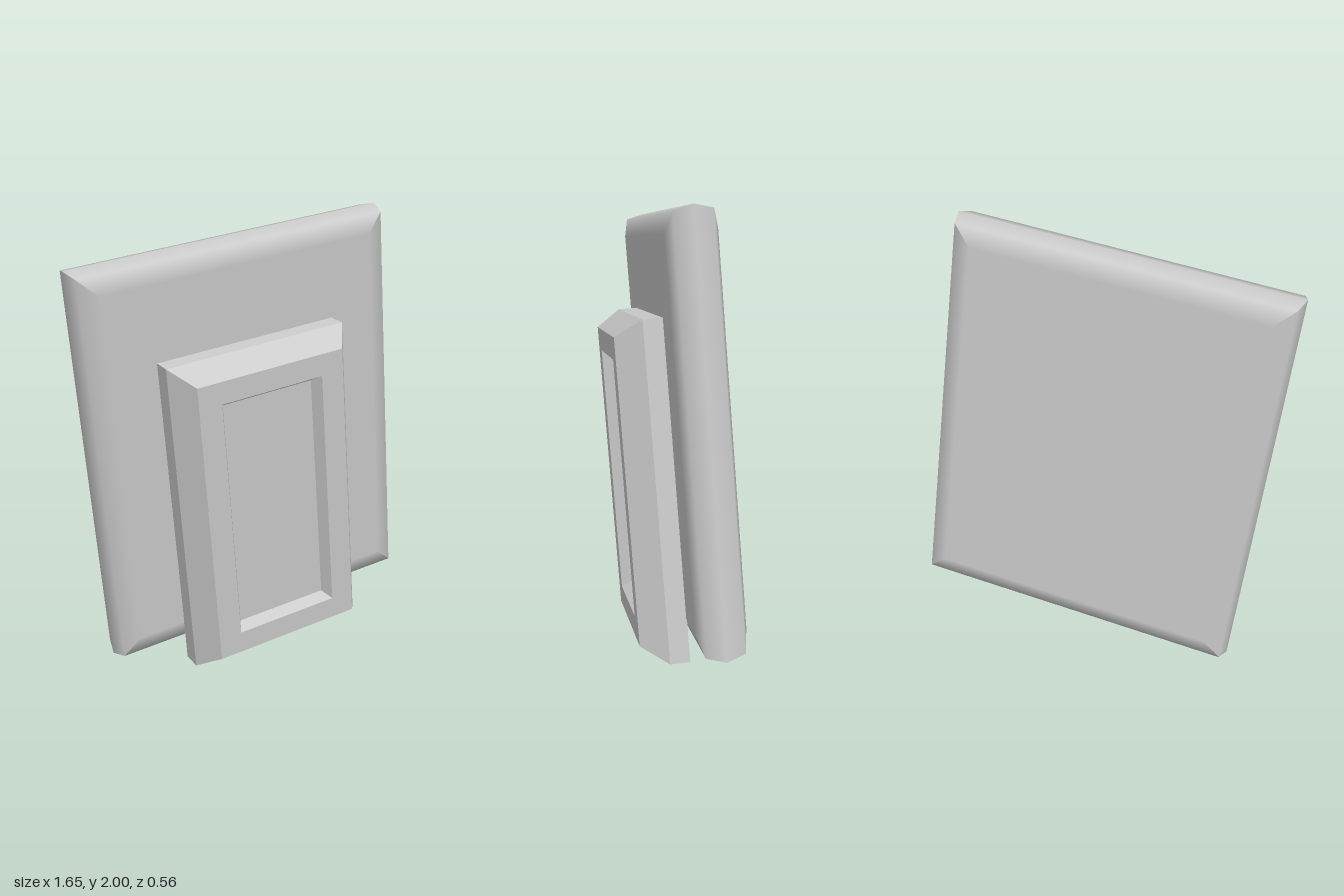
import * as THREE from 'three';

// Rectangular loft through rings [halfWidth, halfHeight, z, normalOut?, normalZ?], back to front, capped.
// Rings carrying normals are shaded smoothly across the rim; the others are flat.
function rectLoft(rings) {
  const smooth = rings[0].length > 3;
  const pos = [], nor = [];
  const sx = [-1, 1, 1, -1], sy = [-1, -1, 1, 1];
  const out = [[0, -1], [1, 0], [0, 1], [-1, 0]];
  const corner = (r, k) => [sx[k] * r[0], sy[k] * r[1], r[2]];
  const quad = (points, normals) => {
    for (const i of [0, 1, 2, 0, 2, 3]) {
      pos.push(...points[i]);
      if (smooth) nor.push(...normals[i]);
    }
  };
  for (let i = 0; i + 1 < rings.length; i++) {
    const a = rings[i], b = rings[i + 1];
    for (let k = 0; k < 4; k++) {
      const n = (k + 1) % 4, [ox, oy] = out[k];
      const na = [ox * a[3], oy * a[3], a[4]], nb = [ox * b[3], oy * b[3], b[4]];
      quad([corner(a, k), corner(a, n), corner(b, n), corner(b, k)], [na, na, nb, nb]);
    }
  }
  const last = rings[rings.length - 1];
  quad([3, 2, 1, 0].map(k => corner(rings[0], k)), Array(4).fill([0, 0, -1]));
  quad([0, 1, 2, 3].map(k => corner(last, k)), Array(4).fill([0, 0, 1]));
  const g = new THREE.BufferGeometry();
  g.setAttribute('position', new THREE.Float32BufferAttribute(pos, 3));
  if (smooth) g.setAttribute('normal', new THREE.Float32BufferAttribute(nor, 3));
  else g.computeVertexNormals();
  return g;
}

export function createModel() {
  const model = new THREE.Group();
  model.name = 'tiltedPanel';
  const add = (name, geometry, flatShading) => {
    const mesh = new THREE.Mesh(geometry, new THREE.MeshStandardMaterial({ color: 0xcccccc, flatShading }));
    mesh.name = name;
    tilt.add(mesh);
    return mesh;
  };

  // Everything is built upright, then leaned as one piece
  const tilt = new THREE.Group();
  tilt.name = 'leaningAssembly';
  const u = new THREE.Vector3(1.46, 0.165, -0.11).normalize();
  const n = u.clone().cross(new THREE.Vector3(-0.19, 1.77, 0.125)).normalize();
  const v = n.clone().cross(u);
  tilt.quaternion.setFromRotationMatrix(new THREE.Matrix4().makeBasis(u, v, n));
  tilt.position.set(-0.003, 1.035, -0.078);
  model.add(tilt);

  // Backing slab with a rounded rim: inset, depth and normal for each profile point
  const W = 0.737, H = 0.892;
  const rim = [[0.1, -0.105, 0, -1], [0.02, -0.08, 0.74, -0.67], [0, 0, 1, 0], [0.02, 0.08, 0.74, 0.67], [0.1, 0.105, 0, 1]];
  add('backingSlab', rectLoft(rim.map(([d, z, no, nz]) => [W - d, H - d, z, no, nz])), false);

  // Raised block with chamfered edges and a sunken, sloped-wall window
  const block = add('raisedFrame', rectLoft([
    [0.425, 0.72, 0.102],
    [0.425, 0.72, 0.187],
    [0.348, 0.652, 0.3],
    [0.242, 0.553, 0.3],
    [0.215, 0.526, 0.25],
  ]), true);
  block.position.set(0.002, -0.261, 0);

  return model;
}
